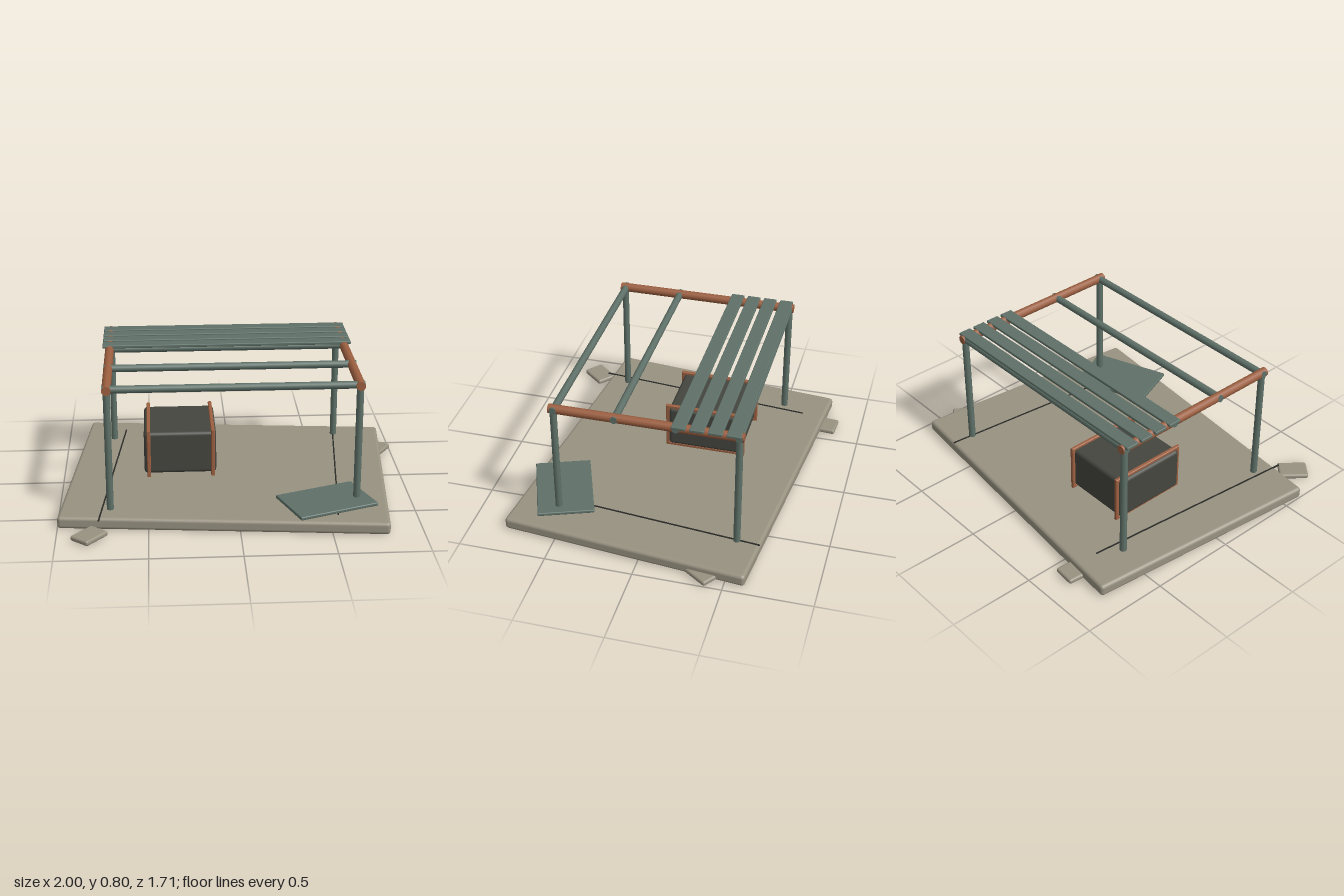
import * as THREE from 'three';
import { RoundedBoxGeometry } from 'three/addons/geometries/RoundedBoxGeometry.js';

const mat = (name, color) => {
  const m = new THREE.MeshStandardMaterial({ color });
  m.name = name;
  return m;
};

export function createModel() {
  const model = new THREE.Group();
  model.name = 'pergola';
  const stone = mat('stone', 0x989281);
  const green = mat('greyGreen', 0x5f7169);
  const copper = mat('copper', 0x9c5f40);
  const dark = mat('darkGrey', 0x45463f);
  const crackMat = mat('crackBlack', 0x2a2c28);

  const add = (name, geometry, material, x, y, z, ry = 0) => {
    const mesh = new THREE.Mesh(geometry, material);
    mesh.name = name;
    mesh.position.set(x, y, z);
    mesh.rotation.y = ry;
    model.add(mesh);
    return mesh;
  };
  const rounded = (w, h, d, r) => new RoundedBoxGeometry(w, h, d, 3, r);
  const rod = (r, length) => new THREE.CylinderGeometry(r, r, length, 10);

  // Skewed base slab and loose chips around it
  add('slab', rounded(1.82, 0.07, 1.42, 0.02), stone, -0.025, 0.036, 0.005, -0.1);
  add('chipFront', rounded(0.17, 0.03, 0.125, 0.012), stone, -0.82, 0.02, 0.75, 0.87);
  add('chipBack', rounded(0.13, 0.03, 0.13, 0.012), stone, -0.62, 0.02, -0.79, -0.08);
  add('chipSide', rounded(0.17, 0.03, 0.13, 0.012), stone, 0.905, 0.02, -0.37, 0.96);

  // Thin cracks lying on the slab
  for (const x of [-0.705, 0.605])
    add('crack', new THREE.BoxGeometry(0.008, 0.006, 1.32), crackMat, x, 0.072, 0.02, -0.1);

  // Posts and side rails
  for (const x of [-0.71, 0.66]) {
    for (const z of [0.525, -0.505])
      add('post', rod(0.02, 0.71), green, x, 0.415, z);
    add('sideRail', rod(0.026, 1.08), copper, x, 0.771, 0.01).rotation.x = Math.PI / 2;
  }

  // Cross beams
  for (const z of [0.52, 0.178, -0.162, -0.505])
    add('crossBeam', rod(0.021, 1.42), green, -0.025, 0.771, z).rotation.z = Math.PI / 2;

  // Roof slats over the back half
  for (let i = 0; i < 4; i++)
    add('slat', rounded(1.45, 0.018, 0.078, 0.005), green, -0.025, 0.79, -0.179 - i * 0.1);

  // Fallen panel
  add('fallenPanel', rounded(0.475, 0.02, 0.32, 0.006), green, 0.49, 0.102, 0.55, 0.36);

  // Crate body with two encircling frames
  add('crateBody', rounded(0.42, 0.255, 0.445, 0.022), dark, -0.312, 0.212, -0.133);
  const ring = new THREE.Shape();
  ring.moveTo(-0.24, -0.143).lineTo(0.24, -0.143).lineTo(0.24, 0.143).lineTo(-0.24, 0.143).closePath();
  const hole = new THREE.Path();
  hole.moveTo(-0.217, -0.122).lineTo(-0.217, 0.122).lineTo(0.217, 0.122).lineTo(0.217, -0.122).closePath();
  ring.holes.push(hole);
  const frame = new THREE.ExtrudeGeometry(ring, {
    depth: 0.014, bevelEnabled: true, bevelThickness: 0.004, bevelSize: 0.004, bevelOffset: -0.004, bevelSegments: 1,
  });
  frame.translate(0, 0, -0.007).rotateY(Math.PI / 2);
  for (const x of [-0.495, -0.122])
    add('crateFrame', frame, copper, x, 0.212, -0.133);

  return model;
}
